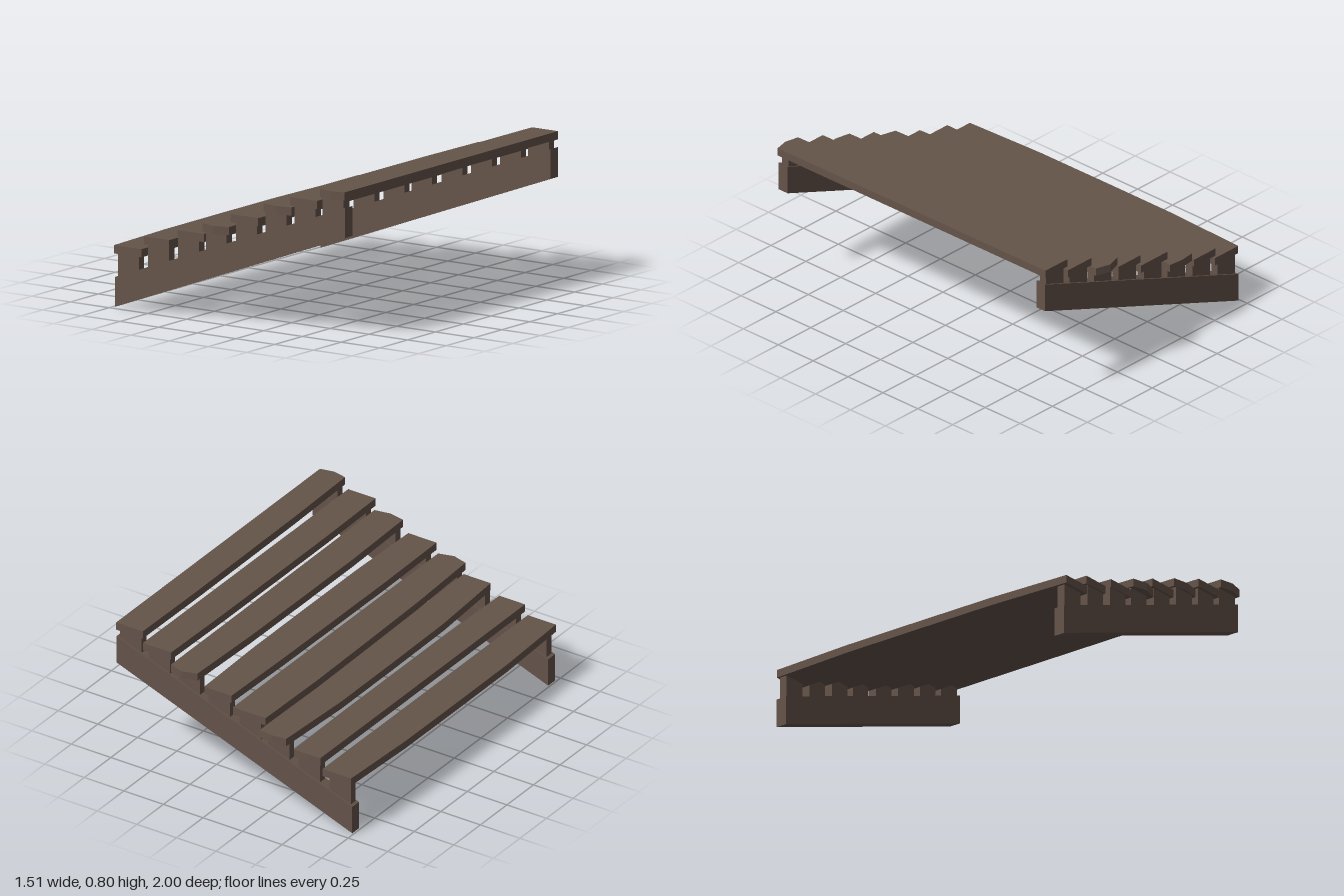
import * as THREE from 'three';

const wood = new THREE.MeshStandardMaterial({ color: 0x65544a, flatShading: true });
wood.name = 'weathered brown wood';

// Planks from lowest to highest. y: underside height; left/right: edge x at the
// back, middle and front; back/front: end z at the corners and at the tip.
const PLANKS = [
  { y: 0.292, left: [-0.735, -0.757, -0.737], right: [-0.555, -0.558, -0.56], back: [-0.95, -0.95], front: [0.975, 0.975] },
  { y: 0.36, left: [-0.548, -0.55, -0.55], right: [-0.383, -0.376, -0.388], back: [-0.962, -0.964], front: [0.963, 0.963] },
  { y: 0.42, left: [-0.345, -0.368, -0.335], right: [-0.178, -0.17, -0.165], back: [-0.981, -0.99], front: [0.96, 0.96] },
  { y: 0.481, left: [-0.193, -0.193, -0.165], right: [0.012, 0.012, 0.008], back: [-0.948, -0.948], front: [0.976, 1.0] },
  { y: 0.55, left: [0.02, 0.008, 0.012], right: [0.19, 0.204, 0.19], back: [-0.953, -0.953], front: [0.967, 0.967] },
  { y: 0.63, left: [0.22, 0.204, 0.215], right: [0.388, 0.39, 0.395], back: [-0.975, -1.0], front: [0.953, 0.97] },
  { y: 0.69, left: [0.4, 0.393, 0.4], right: [0.578, 0.575, 0.573], back: [-0.953, -0.953], front: [0.972, 0.972] },
  { y: 0.757, left: [0.582, 0.58, 0.592], right: [0.75, 0.75, 0.75], back: [-0.95, -0.95], front: [0.97, 0.987] },
];
const PLANK_THICKNESS = 0.044;
const BLOCK_WIDTH = 0.135;

// Sloping beam heights
const X0 = -0.74, X1 = 0.75;
const BEAM_HEIGHT = 0.16;
const beamBottom = x => 0.003 + (x - X0) / (X1 - X0) * 0.553;

// Edge that stays nearly straight in the middle and bends towards its ends (t from -1 to 1)
const edgeX = ([back, mid, front], t) =>
  mid + (front - back) / 2 * t + ((front + back) / 2 - mid) * t ** 4;

// Rough-hewn plank: a subdivided box with its vertices moved to the edges and tips
function plankGeometry(p) {
  const geo = new THREE.BoxGeometry(2, PLANK_THICKNESS, 2, 2, 1, 4);
  geo.translate(0, p.y + PLANK_THICKNESS / 2, 0);
  const pos = geo.attributes.position;
  for (let i = 0; i < pos.count; i++) {
    const u = pos.getX(i), t = pos.getZ(i);
    const column = Math.abs(u) < 0.5 ? 1 : 0;
    pos.setX(i, THREE.MathUtils.lerp(edgeX(p.left, t), edgeX(p.right, t), (u + 1) / 2));
    pos.setZ(i, THREE.MathUtils.lerp(p.back[column], p.front[column], (t + 1) / 2));
  }
  geo.computeVertexNormals();
  return geo;
}

// Sloping side beam with upright ends
function beamGeometry(depth) {
  const shape = new THREE.Shape([
    new THREE.Vector2(X0, beamBottom(X0)),
    new THREE.Vector2(X1, beamBottom(X1)),
    new THREE.Vector2(X1, beamBottom(X1) + BEAM_HEIGHT),
    new THREE.Vector2(X0, beamBottom(X0) + BEAM_HEIGHT),
  ]);
  return new THREE.ExtrudeGeometry(shape, { depth, bevelEnabled: false });
}

export function createModel() {
  const model = new THREE.Group();
  model.name = 'woodenStairs';
  const add = (name, geo) => {
    const mesh = new THREE.Mesh(geo, wood);
    mesh.name = name;
    model.add(mesh);
    return mesh;
  };

  // Treads
  PLANKS.forEach((p, i) => add(`treadPlank${i + 1}`, plankGeometry(p)));

  // Beams, each carrying a row of support blocks
  for (const [side, zMin, zMax] of [['front', 0.898, 0.963], ['back', -0.947, -0.884]]) {
    add(`${side}Beam`, beamGeometry(zMax - zMin)).position.z = zMin;
    PLANKS.forEach((p, i) => {
      const x = (p.left[1] + p.right[1]) / 2;
      const low = beamBottom(x - BLOCK_WIDTH / 2) + BEAM_HEIGHT - 0.03;
      const high = p.y + 0.01;
      const block = add(`${side}Block${i + 1}`, new THREE.BoxGeometry(BLOCK_WIDTH, high - low, zMax - zMin - 0.018));
      block.position.set(x, (low + high) / 2, (zMin + zMax) / 2);
    });
  }
  return model;
}
